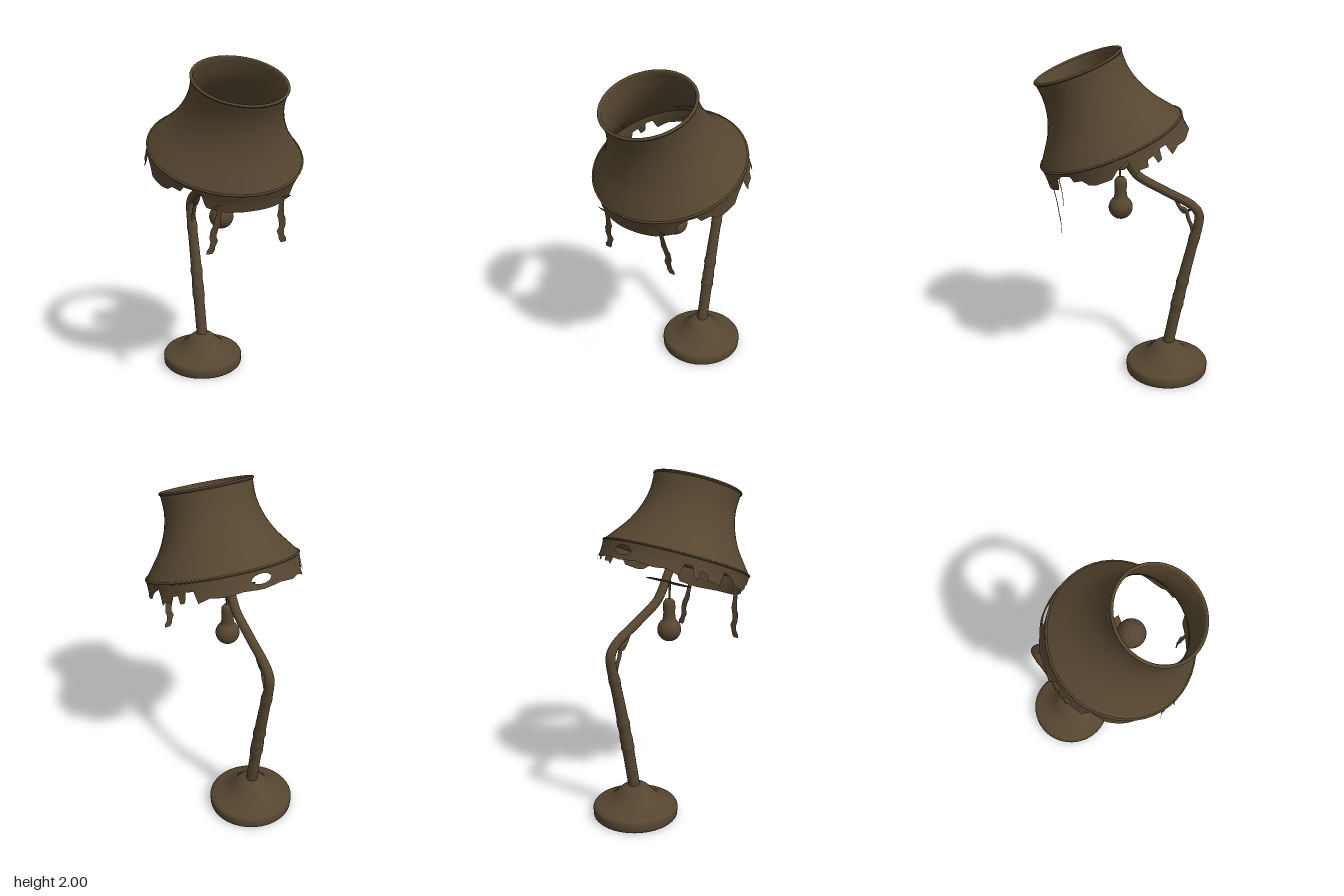
import * as THREE from 'three';

const bronze = new THREE.MeshStandardMaterial({ color: 0x564630, side: THREE.DoubleSide });
bronze.name = 'agedBronze';

const add = (parent, name, geometry) => {
  const m = new THREE.Mesh(geometry, bronze);
  m.name = name;
  parent.add(m);
  return m;
};
const v2 = (pts) => pts.map(([x, y]) => new THREE.Vector2(x, y));

// Tube through [y, z] points in the middle plane, with a radius that follows height
function stem(points, segments, radiusAt) {
  const curve = new THREE.CatmullRomCurve3(points.map(([y, z]) => new THREE.Vector3(0, y, z)), false, 'centripetal');
  const g = new THREE.TubeGeometry(curve, segments, 1, 14);
  const p = g.attributes.position, v = new THREE.Vector3();
  for (let i = 0; i < p.count; i++) {
    const c = curve.getPointAt(Math.floor(i / 15) / segments);
    v.fromBufferAttribute(p, i).sub(c).multiplyScalar(radiusAt(c.y)).add(c);
    p.setXYZ(i, v.x, v.y, v.z);
  }
  g.computeVertexNormals();
  return g;
}

// Open sheet of quads from a point rule f(i, j)
function sheet(cols, rows, f) {
  const pos = [], idx = [];
  for (let i = 0; i <= cols; i++) for (let j = 0; j <= rows; j++) pos.push(...f(i, j));
  for (let i = 0; i < cols; i++) for (let j = 0; j < rows; j++) {
    const a = i * (rows + 1) + j, b = a + rows + 1;
    idx.push(a, a + 1, b, b, a + 1, b + 1);
  }
  const g = new THREE.BufferGeometry();
  g.setAttribute('position', new THREE.Float32BufferAttribute(pos, 3));
  g.setIndex(idx);
  g.computeVertexNormals();
  return g;
}

// Depth of the torn skirt against the angle from the front, in degrees
const TEAR = [[0, .11], [20, .115], [34, .105], [36, .085], [39, .04], [46, .02], [53, .025], [55, .06], [62, .06],
  [66, .09], [72, .1], [84, .095], [90, .06], [99, .035], [101, .12], [105, .105], [111, .11], [113, .075],
  [118, .07], [119, .115], [123, .11], [125, .055], [131, .055], [133, .12], [142, .1], [152, .11], [165, .1], [180, .11]];
function tearDepth(deg) {
  const a = Math.min(deg, 360 - deg);
  let k = 1;
  while (k < TEAR.length - 1 && TEAR[k][0] < a) k++;
  const [a0, d0] = TEAR[k - 1], [a1, d1] = TEAR[k];
  return d0 + (d1 - d0) * (a - a0) / (a1 - a0);
}

// Shade: waisted shell, rolled rim and ragged skirt, tipped forwards
function buildShade() {
  const shade = new THREE.Group();
  shade.name = 'shade';
  shade.position.set(0, 1.905, .265);
  shade.rotation.x = .367;
  const shear = (g) => {
    const p = g.attributes.position;
    for (let i = 0; i < p.count; i++) {
      p.setX(i, p.getX(i) * 1.035);
      p.setZ(i, p.getZ(i) + .04 * p.getY(i));
    }
    g.computeVertexNormals();
    return g;
  };
  const side = new THREE.SplineCurve(v2([[.424, -.445], [.375, -.38], [.318, -.3], [.272, -.2], [.25, -.1], [.252, 0]])).getPoints(20);
  const inner = side.map((p) => new THREE.Vector2(p.x - .01, p.y)).reverse();
  add(shade, 'shadeShell', shear(new THREE.LatheGeometry([...side, ...inner], 48)));
  add(shade, 'topRim', shear(new THREE.TorusGeometry(.25, .009, 8, 48).rotateX(Math.PI / 2)));
  add(shade, 'bottomEdge', shear(new THREE.TorusGeometry(.421, .007, 8, 48).rotateX(Math.PI / 2).translate(0, -.443, 0)));

  // The skirt has two bands that part around an oval hole at the back
  const gap = (deg) => .026 * Math.sqrt(Math.max(0, 1 - ((deg - 180) / 7.5) ** 2));
  const band = (from, to) => sheet(360, 2, (i, j) => {
    const t = i * Math.PI / 180, d = THREE.MathUtils.lerp(from(i), to(i), j / 2);
    const r = .424 - .3 * d * (.1 - d) * 4;
    return [r * Math.sin(t), -.44 - d, r * Math.cos(t)];
  });
  const middle = (deg) => Math.min(.055, tearDepth(deg) * .6);
  add(shade, 'skirtUpper', shear(band(() => 0, (a) => middle(a) - gap(a))));
  add(shade, 'skirtLower', shear(band((a) => middle(a) + gap(a), tearDepth)));
  return shade;
}

// Bulb with its socket, hanging down from its own origin
function buildBulb(name, radius) {
  const pts = [[0, 0], [.022, -.004], [.034, -.02], [.036, -.05], [.034, -.085], [.037, -.11]];
  const cy = -.185, start = 2.55;
  for (let i = 0; i <= 12; i++) {
    const a = start * (1 - i / 12);
    pts.push([Math.max(0, radius * Math.sin(a)), cy - radius * Math.cos(a)]);
  }
  const g = new THREE.LatheGeometry(v2(pts.reverse()), 28);
  const m = new THREE.Mesh(g, bronze);
  m.name = name;
  return m;
}

export function createModel() {
  const lamp = new THREE.Group();
  lamp.name = 'lamp';

  // Round foot
  const foot = add(lamp, 'base', new THREE.LatheGeometry(v2([[0, 0], [.24, 0], [.248, .008], [.25, .03], [.25, .055], [.243, .067],
    [.225, .076], [.19, .085], [.15, .105], [.115, .133], [.088, .165], [.065, .185], [.035, .195], [0, .197]]), 48));
  foot.position.z = -.252;

  // Bent pole with worn collars, narrowing into the arm
  const bump = (y, at, w, h) => h * Math.exp(-(((y - at) / w) ** 2));
  const poleRadius = (y) => THREE.MathUtils.lerp(.034, .026, THREE.MathUtils.smoothstep(y, .5, 1.2))
    + bump(y, .45, .018, .006) + bump(y, .5, .018, .004) + bump(y, .6, .02, .005) + bump(y, .88, .025, .004);
  add(lamp, 'pole', stem([[.17, -.258], [.45, -.31], [.65, -.35], [.88, -.402], [.96, -.422], [1.03, -.425], [1.085, -.385],
    [1.18, -.22], [1.27, -.07], [1.32, -.03], [1.42, .025], [1.48, .062]], 90, poleRadius));

  // Frayed cord inside the bend
  add(lamp, 'cord', stem([[1.12, -.29], [1.075, -.315], [1.06, -.345], [1.0, -.365], [.95, -.385], [.9, -.392]], 24, () => .011));
  add(lamp, 'cordStrand', stem([[1.09, -.3], [1.045, -.335], [1.06, -.375]], 12, () => .008));

  // Bulb on the arm, inside the shade
  const upper = buildBulb('upperBulb', .078);
  upper.position.set(0, 1.435, .035);
  upper.rotation.x = Math.PI + .55;
  lamp.add(upper);

  // Bulb hanging on a wire
  const lower = buildBulb('hangingBulb', .07);
  lower.position.set(0, 1.27, .033);
  lamp.add(lower);
  add(lamp, 'wire', new THREE.CylinderGeometry(.006, .006, .13, 8)).position.set(0, 1.325, .037);

  // Thin pointed plate across the arm
  const leaf = new THREE.Shape();
  leaf.moveTo(-.18, 0);
  leaf.quadraticCurveTo(-.1, .07, 0, .093);
  leaf.quadraticCurveTo(.1, .07, .18, 0);
  leaf.quadraticCurveTo(.1, -.07, 0, -.093);
  leaf.quadraticCurveTo(-.1, -.07, -.18, 0);
  const plate = add(lamp, 'plate', new THREE.ExtrudeGeometry(leaf, { depth: .005, bevelEnabled: false }).rotateX(Math.PI / 2));
  plate.position.set(0, 1.37, .025);
  plate.rotation.x = .37;

  // Torn strips hanging from the front of the skirt: [y, inner x, outer x, z]
  const strip = [[1.3, .165, .235, .428], [1.27, .168, .2, .41], [1.22, .172, .205, .398], [1.18, .17, .212, .39],
    [1.15, .182, .226, .385], [1.11, .19, .23, .378], [1.08, .178, .222, .374], [1.05, .192, .228, .371],
    [1.03, .195, .242, .37], [1.01, .208, .243, .369]];
  for (const s of [1, -1]) {
    add(lamp, s > 0 ? 'leftStrip' : 'rightStrip', sheet(strip.length - 1, 1, (i, j) => [s * strip[i][1 + j], strip[i][0], strip[i][3]]));
  }

  lamp.add(buildShade());
  return lamp;
}
